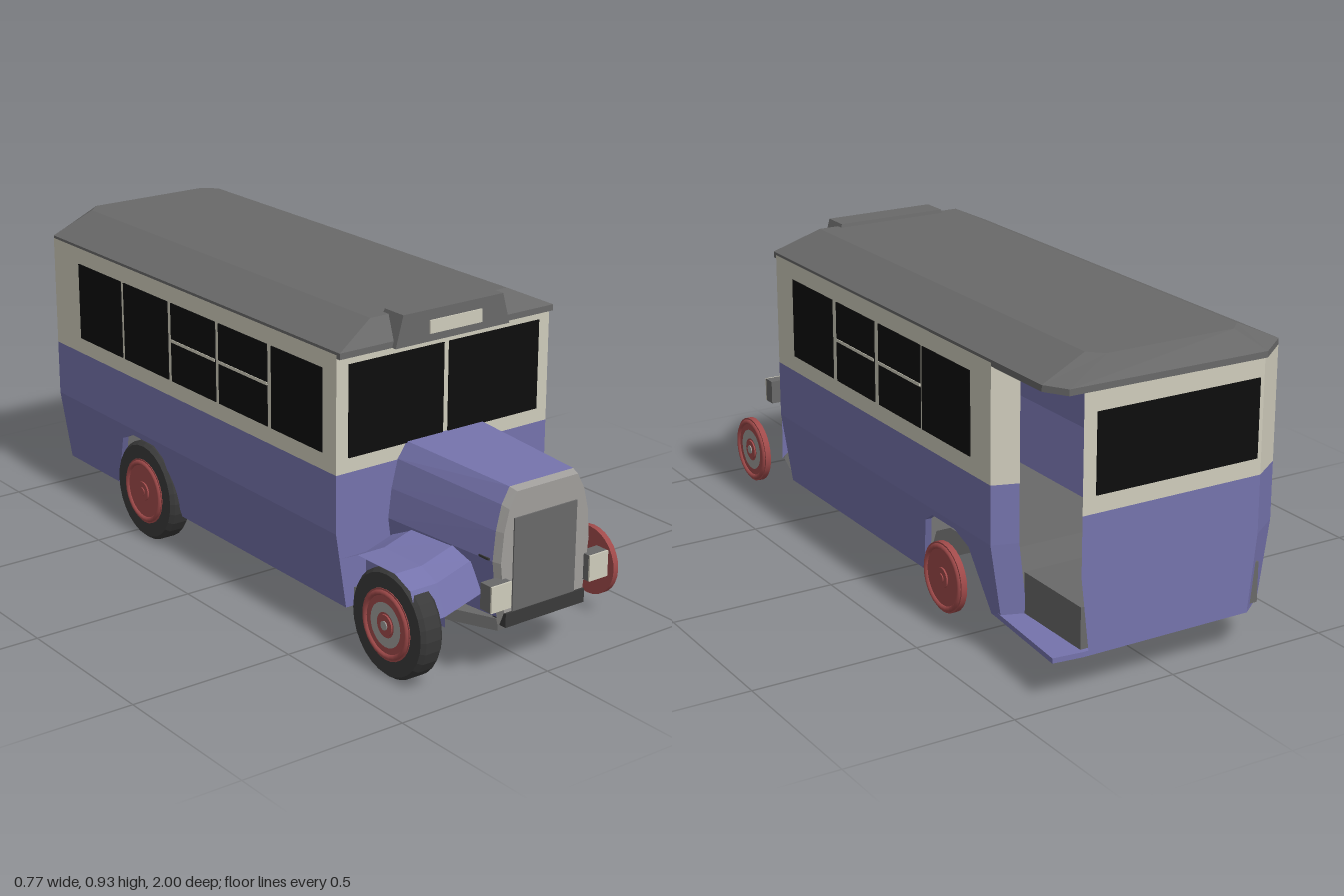
import * as THREE from 'three';

const mat = (name, color, side = THREE.DoubleSide) => new THREE.MeshStandardMaterial({ name, color, side });
const blue = mat('blue paint', 0x7573ac);
const cream = mat('cream paint', 0xcfccbc);
const gray = mat('gray', 0x696969);
const silver = mat('silver', 0xa09e9b);
const black = mat('window black', 0x0d0d0d);
const tyreMat = mat('tyre', 0x3a3a3a);
const red = mat('wheel red', 0xa04a4a);

export function createModel() {
  const bus = new THREE.Group();
  bus.name = 'bus';

  const add = (name, geo, m, parent = bus) => {
    const mesh = new THREE.Mesh(geo, m);
    mesh.name = name;
    parent.add(mesh);
    return mesh;
  };
  const box = (name, m, x0, x1, y0, y1, z0, z1) =>
    add(name, new THREE.BoxGeometry(x1 - x0, y1 - y0, z1 - z0)
      .translate((x0 + x1) / 2, (y0 + y1) / 2, (z0 + z1) / 2), m);

  // Flat shaded polygons, each a list of [x, y, z] corners
  const polys = (list) => {
    const out = [];
    for (const p of list)
      for (let i = 1; i < p.length - 1; i++) out.push(...p[0], ...p[i], ...p[i + 1]);
    const g = new THREE.BufferGeometry();
    g.setAttribute('position', new THREE.Float32BufferAttribute(out, 3));
    g.computeVertexNormals();
    return g;
  };
  // Skin closed rings of equal length, with end caps
  const loft = (rings) => {
    const faces = [rings[0].slice().reverse(), rings[rings.length - 1]];
    for (let r = 0; r < rings.length - 1; r++) {
      const a = rings[r], b = rings[r + 1], n = a.length;
      for (let i = 0; i < n; i++) {
        const j = (i + 1) % n;
        faces.push([a[i], a[j], b[j], b[i]]);
      }
    }
    return polys(faces);
  };
  // Upright wall along an [x, z] path, with an optional narrower foot
  const wall = (name, m, path, y0, y1, foot = 1) => {
    const faces = [];
    for (let i = 0; i < path.length - 1; i++) {
      const [ax, az] = path[i], [bx, bz] = path[i + 1];
      faces.push([[ax * foot, y0, az], [bx * foot, y0, bz], [bx, y1, bz], [ax, y1, az]]);
    }
    add(name, polys(faces), m);
  };

  // Side panels; the bottom panel leans inward and carries the rear wheel arch
  const W = 0.375, SILL = 0.115, CREASE = 0.34, BELT = 0.51, TOP = 0.85, FRONT = 0.55;
  const lean = 0.34 / W;
  const arch = [[-0.27, SILL], [-0.325, 0.29], [-0.37, 0.32], [-0.49, 0.32], [-0.555, 0.29], [-0.63, SILL]];
  const sidePanel = (name, m, s, pts) => {
    const g = new THREE.ExtrudeGeometry(new THREE.Shape(pts.map((p) => new THREE.Vector2(...p))),
      { depth: 0.02, bevelEnabled: false });
    g.rotateY(-Math.PI / 2).translate(s > 0 ? W : -W + 0.02, 0, 0);
    const p = g.attributes.position;
    for (let i = 0; i < p.count; i++) {
      const drop = Math.max(0, CREASE - p.getY(i)) / (CREASE - SILL);
      p.setX(i, p.getX(i) - s * 0.035 * drop);
    }
    g.computeVertexNormals();
    add(name, g, m);
  };
  for (const s of [1, -1]) {
    const back = s > 0 ? -0.68 : -0.92;
    const rect = (y0, y1) => [[FRONT, y0], [FRONT, y1], [back, y1], [back, y0]];
    sidePanel('lowerSide', blue, s, [[FRONT, SILL], [FRONT, CREASE], [back, CREASE], [back, SILL], ...arch.slice().reverse()]);
    sidePanel('middleSide', blue, s, rect(CREASE, BELT));
    sidePanel('upperSide', cream, s, rect(BELT, TOP));
  }

  // Front wall, rounded back wall and the return beside the open doorway
  const paths = {
    frontWall: [[W, FRONT], [-W, FRONT]],
    backWall: [[-W, -0.92], [-0.28, -0.985], [0.29, -0.985]],
    doorReturn: [[W, -0.68], [0.3, -0.705]],
  };
  for (const [name, path] of Object.entries(paths)) {
    wall(name + 'Lower', blue, path, SILL, CREASE, lean);
    wall(name + 'Middle', blue, path, CREASE, BELT);
    wall(name + 'Upper', cream, path, BELT, TOP);
  }

  // Windows
  const windowSide = (s, z0, z1, bar) => {
    const xs = s > 0 ? [W, W + 0.003] : [-W - 0.003, -W];
    box('sideWindow', black, ...xs, 0.56, 0.8, z0, z1);
    if (bar) box('windowBar', cream, xs[0] - 0.002, xs[1] + 0.002, 0.681, 0.69, z0, z1);
  };
  [[0.19, 0.44], [-0.06, 0.165, 1], [-0.318, -0.085, 1], [-0.578, -0.328]].forEach((w) => windowSide(1, ...w));
  [[0.255, 0.49], [-0.003, 0.235, 1], [-0.25, -0.02, 1], [-0.51, -0.268], [-0.77, -0.525]].forEach((w) => windowSide(-1, ...w));
  box('windscreenRight', black, -0.335, -0.009, 0.553, 0.817, FRONT, FRONT + 0.004);
  box('windscreenLeft', black, 0.009, 0.335, 0.553, 0.817, FRONT, FRONT + 0.004);
  box('rearWindow', black, -0.265, 0.25, 0.56, 0.785, -0.989, -0.981);

  // Floor, raised over the rear axle, and the rear platform with its step
  const floor = [[FRONT, 0.135], [-0.28, 0.135], [-0.33, 0.25], [-0.55, 0.25], [-0.6, 0.135], [-0.68, 0.135]];
  const floorFaces = floor.slice(1).map(([z, y], i) => {
    const [pz, py] = floor[i];
    const w = Math.min(py, y) < 0.2 ? 0.335 : 0.29;
    return [[-w, py, pz], [w, py, pz], [w, y, z], [-w, y, z]];
  });
  add('floor', polys(floorFaces), gray);
  add('platform', loft([0.115, 0.13].map((y) => [[0.34, y, -0.64], [0.37, y, -0.975], [0.28, y, -0.985],
    [-0.255, y, -0.985], [-0.34, y, -0.92], [-0.34, y, -0.64]])), blue);
  box('step', gray, -0.3, 0.28, 0.13, 0.25, -0.97, -0.7);

  // Roof with sloping edges
  const eave = (y) => [[W, y, 0.565], [W, y, -0.92], [0.335, y, -0.985], [-0.28, y, -0.995], [-W, y, -0.92], [-W, y, 0.565]];
  add('roof', loft([eave(0.84), eave(0.858),
    [[0.24, 0.92, 0.52], [0.24, 0.92, -0.91], [0.2, 0.92, -0.95], [-0.2, 0.92, -0.95], [-0.24, 0.92, -0.91], [-0.24, 0.92, 0.52]],
  ]), gray);

  // Destination box over the windscreen, with its plate
  add('destinationBox', loft([
    [[0.2, 0.84, 0.58], [0.2, 0.84, 0.48], [-0.2, 0.84, 0.48], [-0.2, 0.84, 0.58]],
    [[0.175, 0.93, 0.58], [0.175, 0.93, 0.5], [-0.175, 0.93, 0.5], [-0.175, 0.93, 0.58]],
  ]), gray);
  box('destinationPlate', cream, -0.085, 0.098, 0.862, 0.9, 0.58, 0.584);

  // Bonnet and radiator share one faceted cross-section
  const section = (z, k, top, low) => {
    const half = [[0.13 * k, top], [0.16 * k, top - 0.045], [0.18 * k, 0.43], [0.19 * k, 0.345], [0.165 * k, low]];
    return [...half, ...half.slice().reverse().map(([x, y]) => [-x, y])].map(([x, y]) => [x, y, z]);
  };
  add('bonnet', loft([section(FRONT, 1.03, 0.557, 0.17), section(0.95, 0.86, 0.545, 0.18)]), blue);
  add('radiatorShell', loft([section(0.95, 0.86, 0.545, 0.16), section(0.975, 0.82, 0.538, 0.16)]), silver);
  box('grille', gray, -0.115, 0.105, 0.2, 0.465, 0.972, 0.979);
  box('radiatorFoot', tyreMat, -0.14, 0.14, 0.16, 0.2, 0.93, 0.982);
  for (const s of [1, -1]) {
    box('bonnetSeam', tyreMat, s * 0.165 - 0.004, s * 0.165 + 0.004, 0.346, 0.352, 0.9, 0.94);
    const [a, b] = s > 0 ? [0.14, 0.207] : [-0.207, -0.138];
    box('headlight', gray, a, b, 0.225, 0.3, 0.955, 0.995);
    box('headlightLens', cream, a, b, 0.225, 0.3, 0.995, 1);
  }
  add('horn', new THREE.CylinderGeometry(0.027, 0.027, 0.11, 12).translate(0.208, 0.43, 0.6), gray);

  // Front chassis
  add('chassis', loft([0.14, 0.175].map((y) => [[0.32, y, 0.56], [0.14, y, 0.95], [-0.14, y, 0.95], [-0.32, y, 0.56]])), gray);

  // Right fender arches over its wheel
  const fender = [[0.56, 0.27], [0.64, 0.31], [0.8, 0.312], [0.865, 0.285], [0.9, 0.2]];
  const fenderFaces = [];
  for (let i = 0; i < 4; i++) {
    const [z, y] = fender[i], [z2, y2] = fender[i + 1];
    fenderFaces.push([[-0.37, y, z], [-0.28, y, z], [-0.28, y2, z2], [-0.37, y2, z2]]);
    fenderFaces.push([[-0.28, y, z], [-0.165, y + 0.035, z], [-0.155, y2 + 0.035, z2], [-0.28, y2, z2]]);
  }
  fenderFaces.push(fender.map(([z, y]) => [-0.28, y, z]).concat([[-0.28, 0.17, 0.9], [-0.28, 0.17, 0.56]]));
  add('rightFender', polys(fenderFaces), blue);

  // Left fender sweeps back to the body, with a gray running board below
  add('leftFender', polys([
    [[0.18, 0.35, 0.56], [0.16, 0.34, 0.85], [0.37, 0.19, 0.56]],
    [[0.18, 0.35, 0.56], [0.37, 0.19, 0.56], [0.37, 0.34, 0.552]],
  ]), blue);
  add('leftRunningBoard', polys([
    [[0.15, 0.27, 0.88], [0.36, 0.185, 0.565], [0.33, 0.12, 0.56], [0.14, 0.17, 0.93]],
    [[0.14, 0.17, 0.93], [0.33, 0.12, 0.56], [0.14, 0.14, 0.56]],
  ]), gray);

  // Wheels: tyres on the right side only, bare rims on the left
  const disc = (name, m, r, t, x, g) =>
    add(name, new THREE.CylinderGeometry(r, r, t, 28).rotateZ(Math.PI / 2).translate(x, 0, 0), m, g);
  const ring = (name, m, r0, r1, x, s, g) =>
    add(name, new THREE.RingGeometry(r0, r1, 28).rotateY(s * Math.PI / 2).translate(x, 0, 0), m, g);
  for (const z of [0.77, -0.43]) {
    for (const s of [1, -1]) {
      const wheel = new THREE.Group();
      wheel.name = z > 0 ? 'frontWheel' : 'rearWheel';
      wheel.position.set(0, 0.155, z);
      bus.add(wheel);
      disc('rim', red, 0.102, 0.018, s * 0.366, wheel);
      add('rimLip', new THREE.TorusGeometry(0.09, 0.008, 6, 28).rotateY(Math.PI / 2).translate(s * 0.374, 0, 0), red, wheel);
      ring('rimRing', z > 0 ? silver : red, 0.036, 0.064, s * 0.3765, s, wheel);
      disc('hub', red, 0.03, 0.012, s * 0.374, wheel);
      disc('hubCap', z > 0 ? silver : red, 0.013, 0.016, s * 0.375, wheel);
      if (s < 0) {
        const profile = [[0.1, -0.036], [0.145, -0.036], [0.155, -0.024], [0.155, 0.024], [0.145, 0.036], [0.1, 0.036], [0.1, -0.036]]
          .map((p) => new THREE.Vector2(...p));
        const tyre = new THREE.LatheGeometry(profile, 28).rotateZ(Math.PI / 2).translate(-0.337, 0, 0).toNonIndexed();
        tyre.computeVertexNormals();
        add('tyre', tyre, tyreMat, wheel);
      }
    }
  }
  return bus;
}
